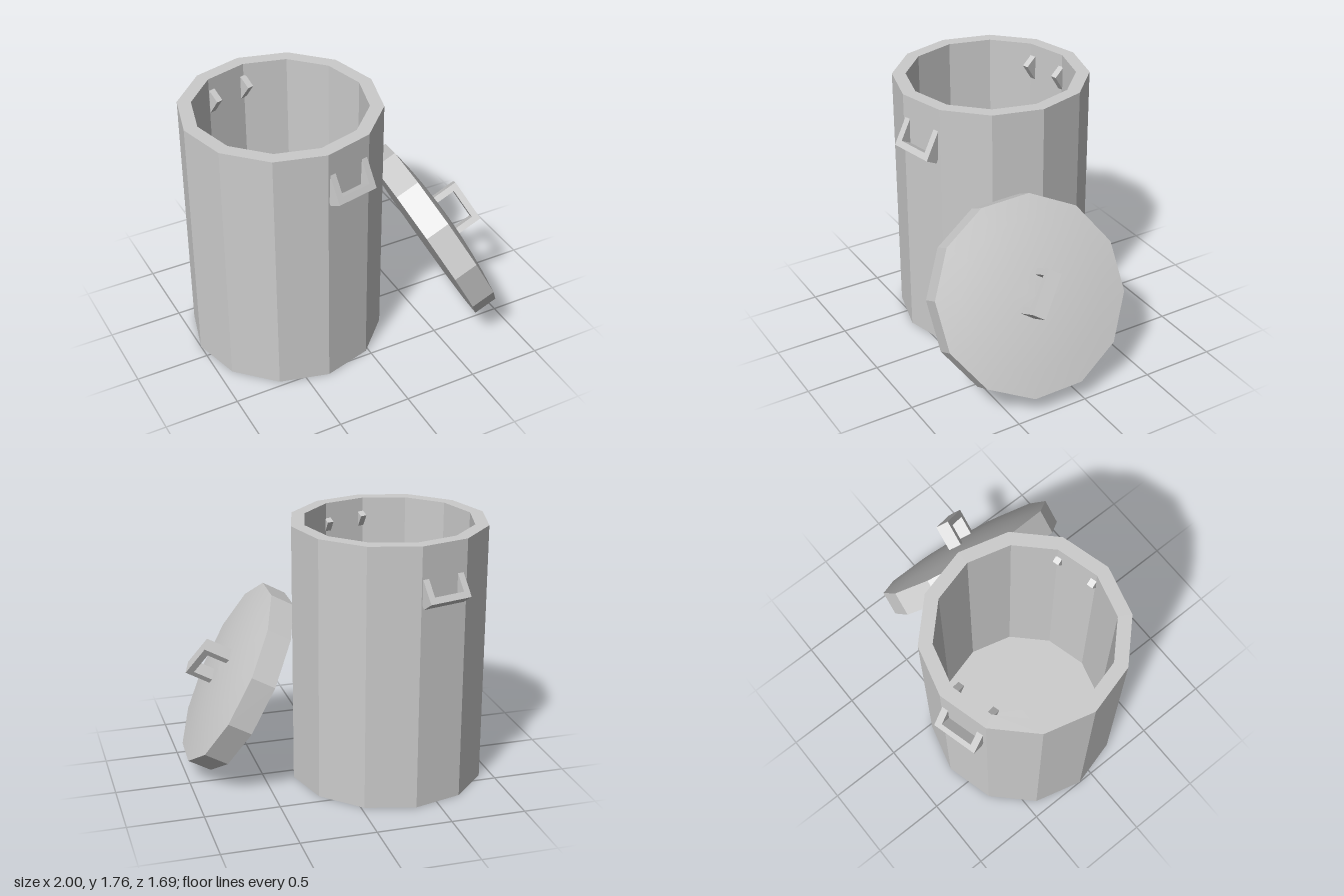
import * as THREE from 'three';

const SIDES = 12;
const flat = new THREE.MeshStandardMaterial({ color: 0xcccccc, flatShading: true });
const smooth = new THREE.MeshStandardMaterial({ color: 0xcccccc });

function mesh(name, geometry, material = flat) {
  const m = new THREE.Mesh(geometry, material);
  m.name = name;
  return m;
}

function lathe(points) {
  return new THREE.LatheGeometry(points.map(([r, y]) => new THREE.Vector2(r, y)), SIDES);
}

// Shallow curve from the rim (y = 0) up to the centre (y = height)
function domeProfile(radius, height) {
  return [1, 0.75, 0.5, 0.25, 0].map((f) => [radius * f, height * (1 - f * f)]);
}

// U-shaped grip: outer face of the bar at y = 0, legs reaching down to y = -length
function handle(name, length) {
  const w = 0.152, t = 0.043, depth = 0.095;
  const outline = [[-w, -length], [-w + t, -length], [-w + t, -t], [w - t, -t],
    [w - t, -length], [w, -length], [w, 0], [-w, 0]];
  const shape = new THREE.Shape(outline.map(([x, y]) => new THREE.Vector2(x, y)));
  const geometry = new THREE.ExtrudeGeometry(shape, { depth, bevelEnabled: false });
  geometry.translate(0, 0, -depth / 2);
  return mesh(name, geometry);
}

function createCan() {
  const can = new THREE.Group();
  can.name = 'can';
  can.position.set(-0.3475, 0, -0.1025);
  const radius = 0.6525;

  // Thick-walled body with floor, and a slightly hollow base
  can.add(mesh('canBody', lathe([[radius, 0], [radius, 1.763], [0.5625, 1.763], [0.5625, 0.09], [0, 0.09]])));
  can.add(mesh('canBase', lathe(domeProfile(radius, 0.03).reverse()), smooth));

  // Drooping side handles, slightly uneven, whose legs pass through the wall
  const sides = [
    { name: 'frontHandle', turn: 0, length: 0.29, y: 1.411, pitch: 2.64, roll: 0.04 },
    { name: 'backHandle', turn: Math.PI, length: 0.32, y: 1.387, pitch: 2.54, roll: 0 },
  ];
  for (const { name, turn, length, y, pitch, roll } of sides) {
    const pivot = new THREE.Group();
    pivot.name = name + 'Mount';
    pivot.rotation.y = Math.PI / 12 + turn;
    const grip = handle(name, length);
    grip.position.set(-0.009, y, 0.684);
    grip.rotation.set(pitch, 0, roll);
    pivot.add(grip);
    can.add(pivot);
  }
  return can;
}

function createLid() {
  const lid = new THREE.Group();
  lid.name = 'lid';
  const radius = 0.652;

  // Rim, flat underside and shallow smooth dome
  lid.add(mesh('lidRim', lathe([[0, -0.168], [radius, -0.168], [radius, 0]])));
  lid.add(mesh('lidDome', lathe(domeProfile(radius, 0.055)), smooth));

  // Top handle
  const grip = handle('lidHandle', 0.21);
  grip.position.set(0, 0.232, 0.02);
  grip.rotation.y = 1.17;
  lid.add(grip);

  // Lean the lid against the can
  const up = new THREE.Vector3(0.877, 0.474, 0.085).normalize();
  const side = new THREE.Vector3(-0.194, 0.16, 0.968);
  side.addScaledVector(up, -side.dot(up)).normalize();
  const along = new THREE.Vector3().crossVectors(side, up);
  lid.quaternion.setFromRotationMatrix(new THREE.Matrix4().makeBasis(side, up, along));
  lid.position.set(0.69, 0.694, 0.215);
  return lid;
}

export function createModel() {
  const model = new THREE.Group();
  model.name = 'trashCan';
  model.add(createCan(), createLid());
  return model;
}
